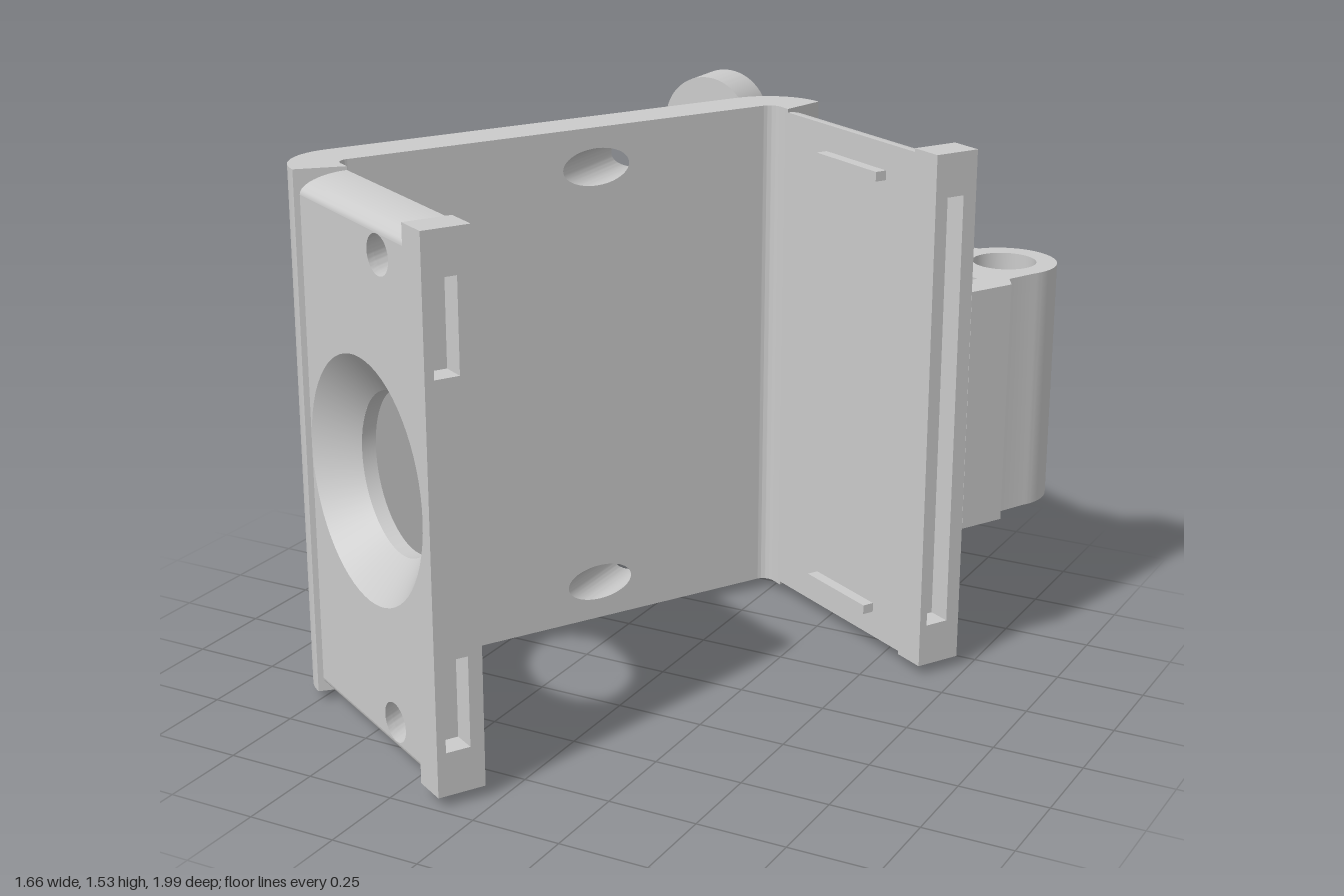
import * as THREE from 'three';
import { toCreasedNormals } from 'three/addons/utils/BufferGeometryUtils.js';

const LOW = 0.03, HIGH = 1.505, MID = (LOW + HIGH) / 2;
const U_BEND = -0.295, U_BLOCK = 0.305, U_END = 0.403; // along the flanges
const SCREW_Y = [0.1425, 1.3925], SCREW_R = 0.053;
const material = new THREE.MeshStandardMaterial({ color: 0xcccccc, side: THREE.DoubleSide });

function addMesh(parent, name, geometry) {
  const mesh = new THREE.Mesh(toCreasedNormals(geometry, 0.5), material);
  mesh.name = name;
  parent.add(mesh);
  return mesh;
}

const extrude = (shape, depth) =>
  new THREE.ExtrudeGeometry(shape, { depth, bevelEnabled: false, curveSegments: 32 });

const polygon = (points) => new THREE.Shape(points.map(([x, y]) => new THREE.Vector2(x, y)));

function cutEllipse(shape, x, y, rx, ry) {
  const path = new THREE.Path();
  path.absellipse(x, y, rx, ry, 0, Math.PI * 2, true);
  shape.holes.push(path);
}

// Slant the screw holes: slide their rims sideways with depth
function slantHoles(geometry, x, rx, slope) {
  const p = geometry.attributes.position;
  for (let i = 0; i < p.count; i++) {
    const nearY = SCREW_Y.some((y) => Math.abs(p.getY(i) - y) < SCREW_R + 0.001);
    if (nearY && Math.abs(p.getX(i) - x) < rx + 0.001) p.setX(i, p.getX(i) + slope * p.getZ(i));
  }
}

// Extrude a plan outline (x, z) upright between two heights
const upright = (shape, y0, y1) =>
  extrude(shape, y1 - y0).rotateX(Math.PI / 2).translate(0, y1, 0);

// Flange outline with a full-height end block and optional notches in its end
function flangeShape(low, high, notches) {
  const pts = [[U_BEND, low], [U_BLOCK, low], [U_BLOCK, LOW], [U_END, LOW]];
  for (const [a, b] of notches) pts.push([U_END, a], [0.335, a], [0.335, b], [U_END, b]);
  pts.push([U_END, HIGH], [U_BLOCK, HIGH], [U_BLOCK, high], [U_BEND, high]);
  return polygon(pts);
}

// Rounded strips along the top and bottom edge of a flange
function addRoundedEdges(parent, inner, outer, height) {
  for (const s of [-1, 1]) {
    const edge = s > 0 ? HIGH - 0.01 : LOW + 0.01;
    const base = edge - s * height;
    const pts = [[inner, base]];
    for (let i = 0; i <= 16; i++) {
      const t = (i / 16) * Math.PI / 2;
      pts.push([inner + (outer - inner) * Math.cos(t), base + s * height * Math.sin(t)]);
    }
    const g = extrude(polygon(pts), U_BLOCK - U_BEND).rotateY(Math.PI / 2).translate(U_BEND, 0, 0);
    addMesh(parent, s > 0 ? 'topRoundedEdge' : 'bottomRoundedEdge', g);
  }
}

function makeFrontFlange() {
  const g = new THREE.Group();
  g.name = 'frontFlange';
  const h = 0.048, slope = 0.577, rx = SCREW_R / 0.866;
  const slots = [[0.15, 0.4], [1.135, 1.385]];
  // layers: [start, end, large hole radius, slots]
  const layers = [[0.778, 0.818, 0.22, []], [0.818, 0.887, 0.33, slots], [0.887, 0.912, 0.33, []]];
  for (const [w0, w1, r, notches] of layers) {
    const shape = flangeShape(LOW + 0.01 + h, HIGH - 0.01 - h, notches);
    cutEllipse(shape, 0.036, MID, r, r);
    const u = 0.163 + slope * (w0 - 0.912);
    for (const y of SCREW_Y) cutEllipse(shape, u, y, rx, SCREW_R);
    const geo = extrude(shape, w1 - w0);
    slantHoles(geo, u, rx, slope);
    addMesh(g, 'frontFlangeLayer', geo.translate(0, 0, w0));
  }
  // countersink
  const cone = new THREE.LatheGeometry(
    [new THREE.Vector2(0.22, 0.818), new THREE.Vector2(0.33, 0.912)], 64);
  addMesh(g, 'countersink', cone.rotateX(Math.PI / 2).translate(0.036, MID, 0));
  addRoundedEdges(g, -0.778, -0.912, h);
  return g;
}

function makeRearFlange() {
  const g = new THREE.Group();
  g.name = 'rearFlange';
  const h = 0.125;
  const layers = [[-0.737, -0.695, []], [-0.695, -0.625, [[0.15, 1.385]]], [-0.625, -0.602, []]];
  for (const [w0, w1, notches] of layers) {
    const shape = flangeShape(LOW + 0.01 + h, HIGH - 0.01 - h, notches);
    addMesh(g, 'rearFlangeLayer', extrude(shape, w1 - w0).translate(0, 0, w0));
  }
  addRoundedEdges(g, 0.602, 0.737, h);
  // small ridges on the inside
  for (const y of [0.129, 1.406]) {
    const ridge = new THREE.BoxGeometry(0.28, 0.027, 0.04).translate(0.04, y, -0.588);
    addMesh(g, 'ridge', ridge);
  }
  return g;
}

// Rounded bend between the web and a flange; s gives the side
function makeBend(s, centreW) {
  const u = -0.335, shape = new THREE.Shape();
  shape.moveTo(U_BEND, centreW + s * 0.17);
  shape.absarc(u, centreW, 0.17, s * Math.PI / 2, s * Math.PI, s < 0);
  shape.absarc(u, centreW, 0.035, s * Math.PI, s * Math.PI / 2, s > 0);
  shape.lineTo(U_BEND, centreW + s * 0.035);
  return upright(shape, LOW, HIGH);
}

function makeWeb() {
  const shape = polygon([[-0.742, LOW], [0.567, LOW], [0.567, HIGH], [-0.742, HIGH]]);
  const v = 0.244, rx = SCREW_R / 0.5;
  for (const y of SCREW_Y) cutEllipse(shape, v, y, rx, SCREW_R);
  const geo = extrude(shape, 0.135);
  slantHoles(geo, v, rx, -1.732);
  return geo.rotateY(Math.PI / 2).translate(-0.505, 0, 0);
}

function makeHingeArm() {
  const s = new THREE.Shape();
  s.moveTo(-0.18, -1);
  s.lineTo(0.2, -1);
  s.lineTo(0.2, -0.92);
  s.lineTo(0.565, -0.875);
  s.absarc(0.68, -0.78, 0.148, -2.42, 0.62, false);
  for (const [x, z] of [[0.76, -0.61], [0.785, -0.56], [0.718, -0.437], [0.633, -0.486],
    [0.681, -0.569], [0.161, -0.869], [0.113, -0.786], [0.05, -0.79], [-0.02, -0.827]]) s.lineTo(x, z);
  s.quadraticCurveTo(-0.08, -0.855, -0.18, -0.862);
  cutEllipse(s, 0.68, -0.78, 0.09, 0.09);
  return upright(s, 0.42, 1.11);
}

function makeEarPlate() {
  const x = -0.3175, r = 0.1375, s = new THREE.Shape();
  s.absarc(x, 1.53 - r, r, 0, Math.PI, false);
  s.absarc(x, r, r, Math.PI, Math.PI * 2, false);
  for (const y of SCREW_Y) cutEllipse(s, x, y, SCREW_R, SCREW_R);
  return extrude(s, 0.138).translate(0, 0, -1);
}

export function createModel() {
  const model = new THREE.Group();
  model.name = 'hingedBracket';

  // channel, turned thirty degrees
  const channel = new THREE.Group();
  channel.name = 'channel';
  channel.rotation.y = -Math.PI / 6;
  channel.add(makeFrontFlange(), makeRearFlange());
  addMesh(channel, 'web', makeWeb());
  addMesh(channel, 'frontBend', makeBend(1, 0.742));
  addMesh(channel, 'rearBend', makeBend(-1, -0.567));
  model.add(channel);

  // hinge arm and mounting ear behind it
  addMesh(model, 'hingeArm', makeHingeArm());
  addMesh(model, 'earPlate', makeEarPlate());
  return model;
}
